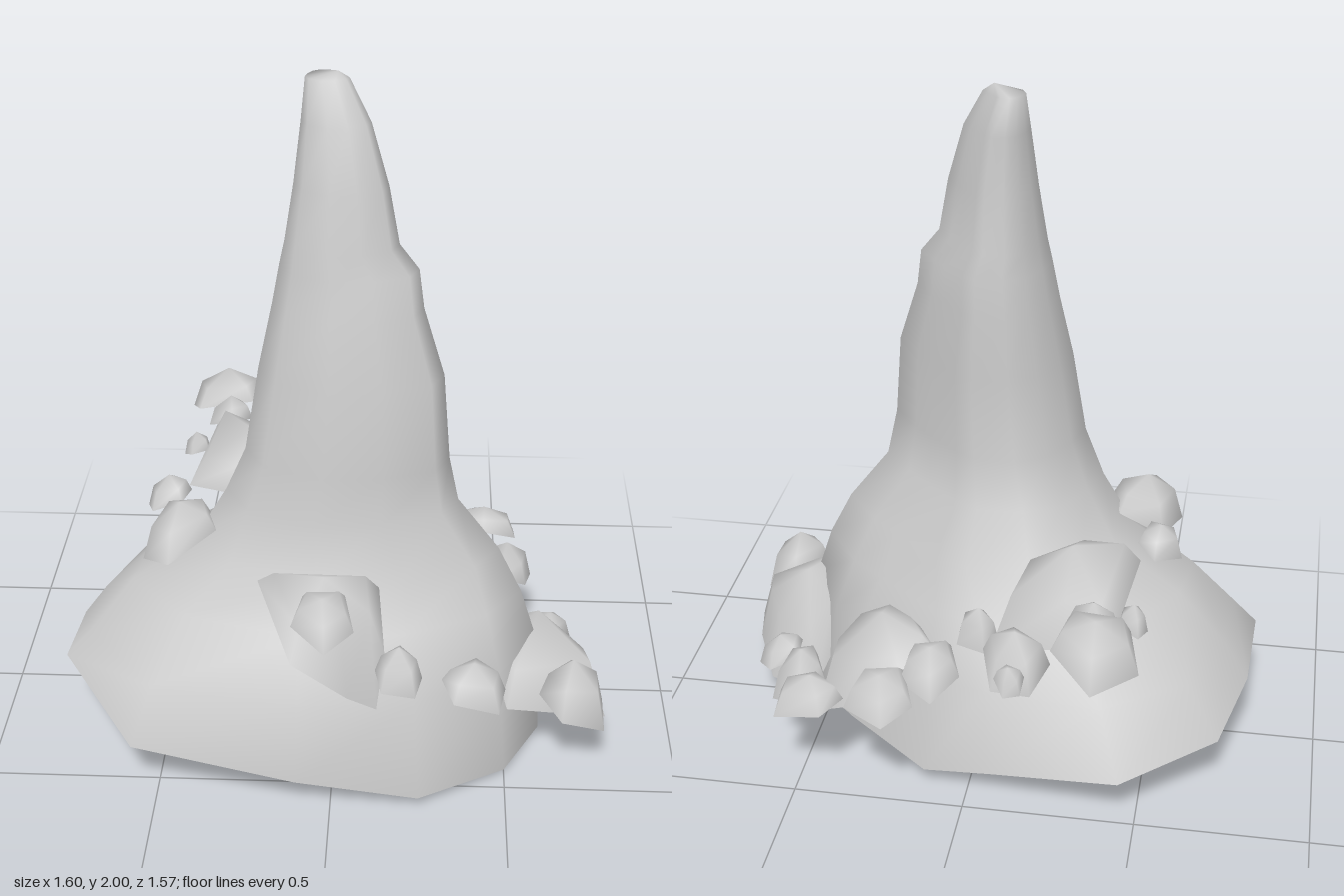
import * as THREE from 'three';

const material = new THREE.MeshStandardMaterial({ color: 0xcccccc, side: THREE.DoubleSide });

// Skin a stack of equal-length rings (bottom to top) and close it with an apex
function loft(name, rings, apex) {
  const n = rings[0].length, pos = rings.flat(2).concat(apex), index = [];
  const top = rings.length * n;
  rings.forEach((ring, r) => {
    for (let i = 0; i < n; i++) {
      const a = r * n + i, b = r * n + (i + 1) % n;
      if (r < rings.length - 1) index.push(a, b, b + n, a, b + n, a + n);
      else index.push(a, b, top);
    }
  });
  const geo = new THREE.BufferGeometry();
  geo.setAttribute('position', new THREE.Float32BufferAttribute(pos, 3));
  geo.setIndex(index);
  geo.computeVertexNormals();
  const mesh = new THREE.Mesh(geo, material);
  mesh.name = name;
  return mesh;
}

// Fit a 2D outline to the box -1..1
function normalise(pts) {
  const axes = [0, 1].map(k => {
    const v = pts.map(p => p[k]);
    return [Math.min(...v), Math.max(...v)];
  });
  return pts.map(p => axes.map(([lo, hi], k) => (p[k] - lo) / (hi - lo) * 2 - 1));
}

// Spire: the wide footprint morphs into the neck outline while it narrows
function spire() {
  // Footprint as x, y, z, running counter-clockwise seen from above
  const foot = [
    [-0.57, 0.16, 0.57], [-0.1, 0.09, 0.62], [0.25, 0.03, 0.6], [0.5, 0.01, 0.43],
    [0.61, 0, 0.2], [0.5, 0.01, -0.04], [0.41, 0.02, -0.14], [0.13, 0.05, -0.41],
    [-0.07, 0.08, -0.44], [-0.45, 0.14, -0.51], [-0.72, 0.18, -0.31],
    [-0.79, 0.22, -0.03], [-0.8, 0.25, 0.25],
  ];
  const neck = normalise([
    [-0.2, 0.28], [-0.03, 0.35], [0.14, 0.34], [0.29, 0.28], [0.33, 0.2], [0.25, 0.1],
    [0.19, 0.04], [0.1, -0.04], [0.04, -0.08], [-0.08, -0.08], [-0.17, -0.03],
    [-0.23, 0.07], [-0.26, 0.17],
  ]);
  const wide = normalise(foot.map(p => [p[0], p[2]]));
  // Height, morph, x range, z range
  const levels = [
    [0.33, 0.15, -0.74, 0.6, -0.44, 0.59],
    [0.48, 0.5, -0.62, 0.56, -0.3, 0.48],
    [0.62, 0.8, -0.42, 0.48, -0.21, 0.41],
    [0.78, 0.96, -0.32, 0.35, -0.13, 0.36],
    [0.92, 1, -0.26, 0.32, -0.08, 0.35],
    [1.17, 1, -0.22, 0.30, -0.075, 0.32],
    [1.36, 1, -0.18, 0.24, -0.07, 0.275],
    [1.47, 1, -0.16, 0.225, -0.06, 0.25],
    [1.54, 1, -0.145, 0.17, -0.05, 0.235],
    [1.7, 1, -0.12, 0.14, -0.03, 0.2],
    [1.87, 1, -0.1, 0.09, -0.015, 0.15],
    [1.98, 1, -0.09, 0.03, -0.01, 0.09],
  ];
  const rings = levels.map(([y, t, x0, x1, z0, z1]) => wide.map((w, i) => {
    let u = THREE.MathUtils.lerp(w[0], neck[i][0], t);
    let v = THREE.MathUtils.lerp(w[1], neck[i][1], t);
    // Draw the corners in on the flared part
    const pinch = 1 - 0.5 * t * (1 - t) * Math.abs(u * v);
    u *= pinch;
    v *= pinch;
    return [(x0 + x1 + u * (x1 - x0)) / 2, y, (z0 + z1 + v * (z1 - z0)) / 2];
  }));
  return loft('spire', [foot, ...rings], [0, 2, 0.06]);
}

// Boulder: rim, full shoulder ring and apex
function boulder(name, rim, apex) {
  const shoulder = rim.map(p => p.map((v, k) => v + (apex[k] - v) * (k === 1 ? 0.62 : 0.25)));
  return loft(name, [rim, shoulder], apex);
}

// Small five-sided stone whose underside tips away from the spire
function stone([x, y, z, wx, wz, h, turn], id) {
  const outline = normalise(Array.from({ length: 5 }, (_, i) => {
    const a = (i + 0.12 * Math.sin(id * 7.1 + i * 2.7)) * Math.PI * 0.4
      + THREE.MathUtils.degToRad(turn);
    return [Math.sin(a), Math.cos(a)];
  }));
  const out = new THREE.Vector2(x, z - 0.15).normalize();
  const rim = outline.map(([u, v]) =>
    [x + u * wx, y - 0.4 * (u * wx * out.x + v * wz * out.y), z + v * wz]);
  return boulder('stone', rim, [x, y + h, z]);
}

export function createModel() {
  const model = new THREE.Group();
  model.name = 'rockSpire';
  model.add(spire());

  // Four large boulders around the foot
  model.add(
    boulder('frontBoulder', [
      [-0.21, 0.64, 0.43], [-0.1, 0.56, 0.72], [0.05, 0.42, 0.67],
      [0.13, 0.35, 0.62], [0.15, 0.5, 0.57], [0.13, 0.62, 0.42],
    ], [-0.02, 0.7, 0.5]),
    boulder('backRightBoulder', [
      [-0.46, 0.64, -0.1], [-0.3, 0.62, -0.08], [-0.11, 0.55, -0.2],
      [-0.07, 0.5, -0.43], [-0.28, 0.56, -0.48], [-0.42, 0.62, -0.54],
    ], [-0.28, 0.76, -0.25]),
    boulder('backLeftBoulder', [
      [0.1, 0.43, -0.35], [0.17, 0.42, -0.22], [0.28, 0.38, -0.11], [0.4, 0.26, -0.1],
      [0.46, 0.2, -0.25], [0.45, 0.21, -0.39], [0.3, 0.3, -0.47], [0.18, 0.38, -0.46],
    ], [0.28, 0.48, -0.25]),
    boulder('leftBoulder', [
      [0.5, 0.24, 0.45], [0.8, 0.1, 0.28], [0.78, 0.08, 0.17], [0.7, 0.04, 0],
      [0.56, 0.02, -0.04], [0.48, 0.2, 0.05], [0.46, 0.28, 0.25],
    ], [0.6, 0.37, 0.13]),
  );

  // Loose stones: x, y, z, half width, half depth, height, turn in degrees
  const stones = [
    [-0.39, 0.65, -0.65, 0.12, 0.115, 0.12, 180],
    [-0.17, 0.61, -0.74, 0.04, 0.045, 0.05, 160],
    [-0.16, 0.54, -0.55, 0.095, 0.09, 0.11, 0],
    [-0.37, 0.65, -0.51, 0.07, 0.06, 0.09, 0],
    [-0.47, 0.6, -0.39, 0.04, 0.04, 0.07, 270],
    [-0.02, 0.47, -0.32, 0.06, 0.05, 0.1, 270],
    [-0.51, 0.64, -0.02, 0.065, 0.07, 0.08, 180],
    [-0.45, 0.64, 0.21, 0.105, 0.125, 0.12, 214],
    [0.1, 0.41, -0.44, 0.085, 0.095, 0.09, 190],
    [0.23, 0.37, -0.53, 0.1, 0.095, 0.08, 185],
    [0.45, 0.3, -0.46, 0.1, 0.07, 0.08, 200],
    [0.52, 0.24, -0.29, 0.08, 0.095, 0.11, 188],
    [0.65, 0.17, -0.06, 0.065, 0.07, 0.07, 165],
    [0.69, 0.21, 0.37, 0.095, 0.1, 0.15, 195],
    [0.4, 0.37, 0.53, 0.09, 0.08, 0.08, 185],
    [0.19, 0.47, 0.625, 0.065, 0.065, 0.09, 180],
    [-0.015, 0.67, 0.69, 0.085, 0.09, 0.08, 0],
  ];
  stones.forEach((s, id) => model.add(stone(s, id)));
  return model;
}
